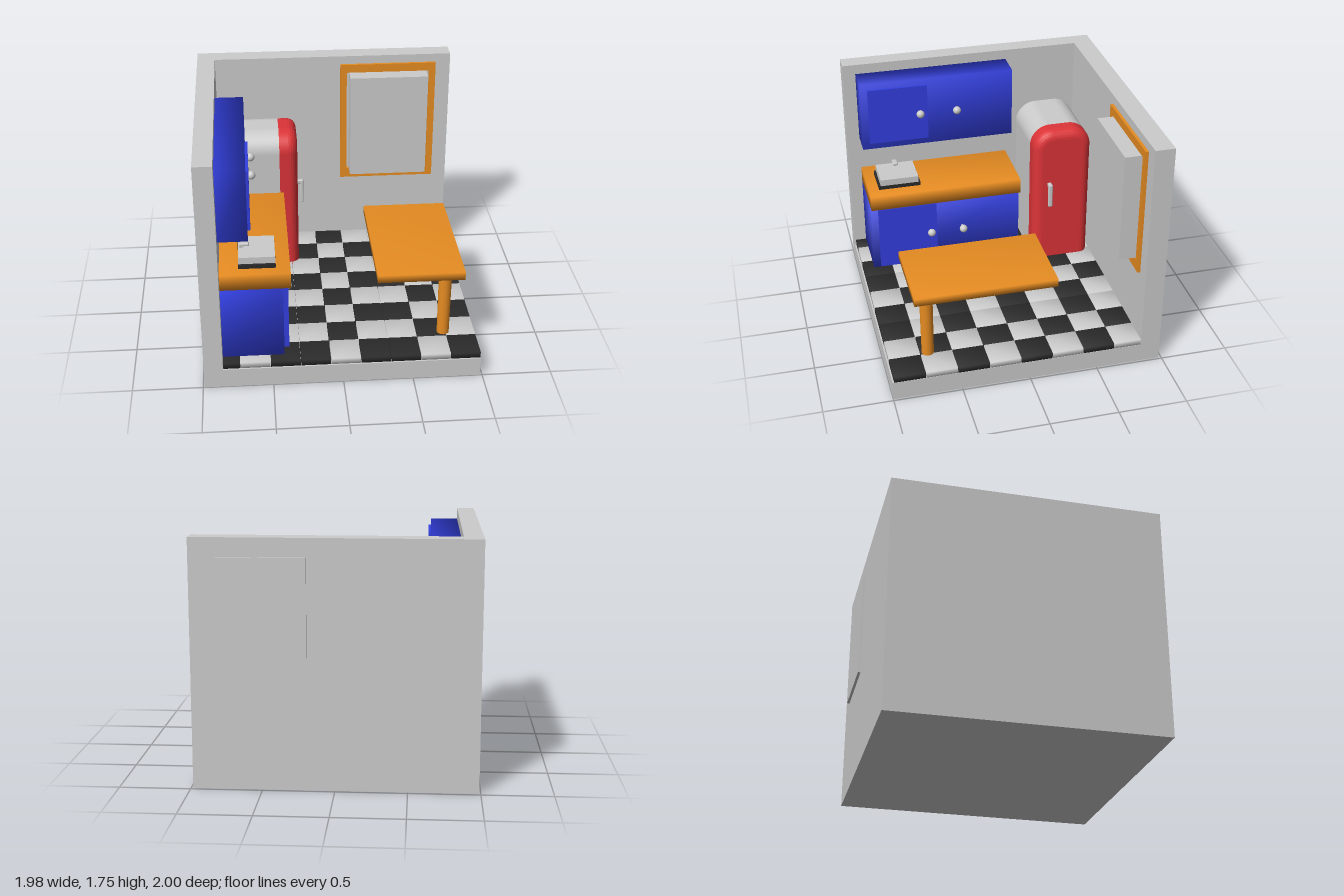
import * as THREE from 'three';
import { mergeVertices } from 'three/addons/utils/BufferGeometryUtils.js';
import { RoundedBoxGeometry } from 'three/addons/geometries/RoundedBoxGeometry.js';

const mat = (color) => new THREE.MeshStandardMaterial({ color });

export function createModel() {
  const model = new THREE.Group();
  const grey = mat(0xcccccc), blue = mat(0x3340e0), orange = mat(0xe68c22);
  const red = mat(0xdc3438), dark = mat(0x2b2b2b);

  function add(name, geometry, material, parent = model) {
    const mesh = new THREE.Mesh(geometry, material);
    mesh.name = name;
    parent.add(mesh);
    return mesh;
  }
  function group(name) {
    const g = new THREE.Group();
    g.name = name;
    model.add(g);
    return g;
  }
  // Box given by its extents on each axis
  const box = ([x0, x1], [y0, y1], [z0, z1]) =>
    new THREE.BoxGeometry(x1 - x0, y1 - y0, z1 - z0)
      .translate((x0 + x1) / 2, (y0 + y1) / 2, (z0 + z1) / 2);
  // Same box with normals shared across its edges
  function softBox(x, y, z) {
    let g = box(x, y, z);
    g.deleteAttribute('normal');
    g.deleteAttribute('uv');
    g = mergeVertices(g);
    g.computeVertexNormals();
    return g;
  }
  function roundBox([x0, x1], [y0, y1], [z0, z1], r) {
    return new RoundedBoxGeometry(x1 - x0, y1 - y0, z1 - z0, 3, r)
      .translate((x0 + x1) / 2, (y0 + y1) / 2, (z0 + z1) / 2);
  }

  // Room shell: floor slab and two walls
  const room = group('room');
  add('floorSlab', box([-0.99, 0.985], [0, 0.145], [-0.98, 1]), grey, room);
  add('leftWall', box([-0.99, -0.855], [0.145, 1.75], [-0.98, 1]), grey, room);
  add('backWall', box([-0.855, 0.985], [0.145, 1.75], [-0.98, -0.835]), grey, room);

  // Floor tiles; the first column and row are cut narrower by the walls
  const tiles = group('floorTiles');
  const edgeX = (i) => Math.max(-0.855, 0.985 - (9 - i) * 0.2145);
  const edgeZ = (j) => Math.max(-0.835, 0.99 - (8 - j) * 0.2315);
  for (let i = 0; i < 9; i++) {
    for (let j = 0; j < 8; j++) {
      const light = (i % 3 === 1) === (j % 2 === 1);
      add('tile', softBox([edgeX(i) + 0.002, edgeX(i + 1) - 0.002], [0.14, 0.19],
        [edgeZ(j) + 0.002, edgeZ(j + 1) - 0.002]), light ? grey : dark, tiles);
    }
  }

  // Cabinets: carcass, raised door panel and two knobs
  function cabinet(name, front, doorFront, y, doorY, knobX, knobY, knobZs) {
    const g = group(name);
    add('carcass', softBox([-0.854, front], y, [-0.275, 0.905]), blue, g);
    add('door', box([front - 0.01, doorFront], doorY, [0.395, 0.85]), blue, g);
    for (const z of knobZs) {
      add('knob', new THREE.SphereGeometry(0.031, 20, 14).translate(knobX, knobY, z), grey, g);
      const stem = new THREE.CylinderGeometry(0.012, 0.012, knobX - front + 0.01, 12);
      stem.rotateZ(Math.PI / 2).translate((knobX + front) / 2, knobY, z);
      add('knobStem', stem, grey, g);
    }
  }
  cabinet('lowerCabinet', -0.415, -0.378, [0.19, 0.745], [0.215, 0.73], -0.368, 0.475, [0.44, 0.185]);
  cabinet('upperCabinet', -0.645, -0.625, [1.13, 1.675], [1.185, 1.63], -0.608, 1.4, [0.455, 0.17]);
  add('countertop', softBox([-0.854, -0.36], [0.745, 0.865], [-0.275, 0.905]), orange);

  // Sink with a small tap
  const sink = group('sink');
  add('sinkBase', box([-0.72, -0.46], [0.86, 0.895], [0.5, 0.825]), dark, sink);
  add('sinkBlock', box([-0.718, -0.462], [0.895, 0.945], [0.515, 0.81]), grey, sink);
  add('tapPost', box([-0.708, -0.68], [0.94, 0.962], [0.652, 0.672]), grey, sink);
  add('tapSpout', roundBox([-0.71, -0.64], [0.96, 0.982], [0.642, 0.682], 0.008), grey, sink);

  // Fridge: arched profile extruded along x
  const fridge = group('fridge');
  function archedProfile(bottom) {
    const s = new THREE.Shape();
    const [a, b, top, r] = [0.355, 0.81, 1.305, 0.155];
    s.moveTo(a, bottom).lineTo(b, bottom).lineTo(b, top - r);
    s.absarc(b - r, top - r, r, 0, Math.PI / 2, false);
    s.lineTo(a + r, top);
    s.absarc(a + r, top - r, r, Math.PI / 2, Math.PI, false);
    s.lineTo(a, bottom);
    return s;
  }
  // Extrusion depth becomes +x, profile x becomes -z
  const alongX = (g, x) => g.rotateY(Math.PI / 2).translate(x, 0, 0);
  add('fridgeBody', alongX(new THREE.ExtrudeGeometry(archedProfile(0.15),
    { depth: 0.425, bevelEnabled: false, curveSegments: 12 }), -0.81), grey, fridge);
  // The door's rear bevel is sunk in the body, its lower one in the floor
  add('fridgeDoor', alongX(new THREE.ExtrudeGeometry(archedProfile(0.1), {
    depth: 0.07, bevelThickness: 0.07, bevelSize: 0.07, bevelOffset: -0.07,
    bevelSegments: 6, curveSegments: 12,
  }), -0.385), red, fridge);
  add('handleBar', roundBox([-0.225, -0.198], [0.675, 0.87], [-0.495, -0.46], 0.01), grey, fridge);
  add('handleMount', roundBox([-0.27, -0.2], [0.835, 0.87], [-0.493, -0.462], 0.008), grey, fridge);

  // Window: flat frame around a thick pane that runs through the wall
  const win = group('window');
  const rect = (p, x0, y0, x1, y1) =>
    p.moveTo(x0, y0).lineTo(x1, y0).lineTo(x1, y1).lineTo(x0, y1).closePath();
  const frame = rect(new THREE.Shape(), 0.12, 0.705, 0.87, 1.685);
  frame.holes.push(rect(new THREE.Path(), 0.17, 0.785, 0.82, 1.62));
  add('windowFrame', new THREE.ExtrudeGeometry(frame, { depth: 0.025, bevelEnabled: false })
    .translate(0, 0, -0.838), orange, win);
  add('windowPane', box([0.19, 0.797], [0.787, 1.618], [-1, -0.695]), grey, win);

  // Table on a single leg
  const table = group('table');
  add('tableTop', softBox([0.255, 0.878], [0.69, 0.75], [-0.225, 0.805]), orange, table);
  add('tableLeg', new THREE.CylinderGeometry(0.048, 0.045, 0.52, 16)
    .translate(0.752, 0.445, 0.702), orange, table);

  return model;
}
